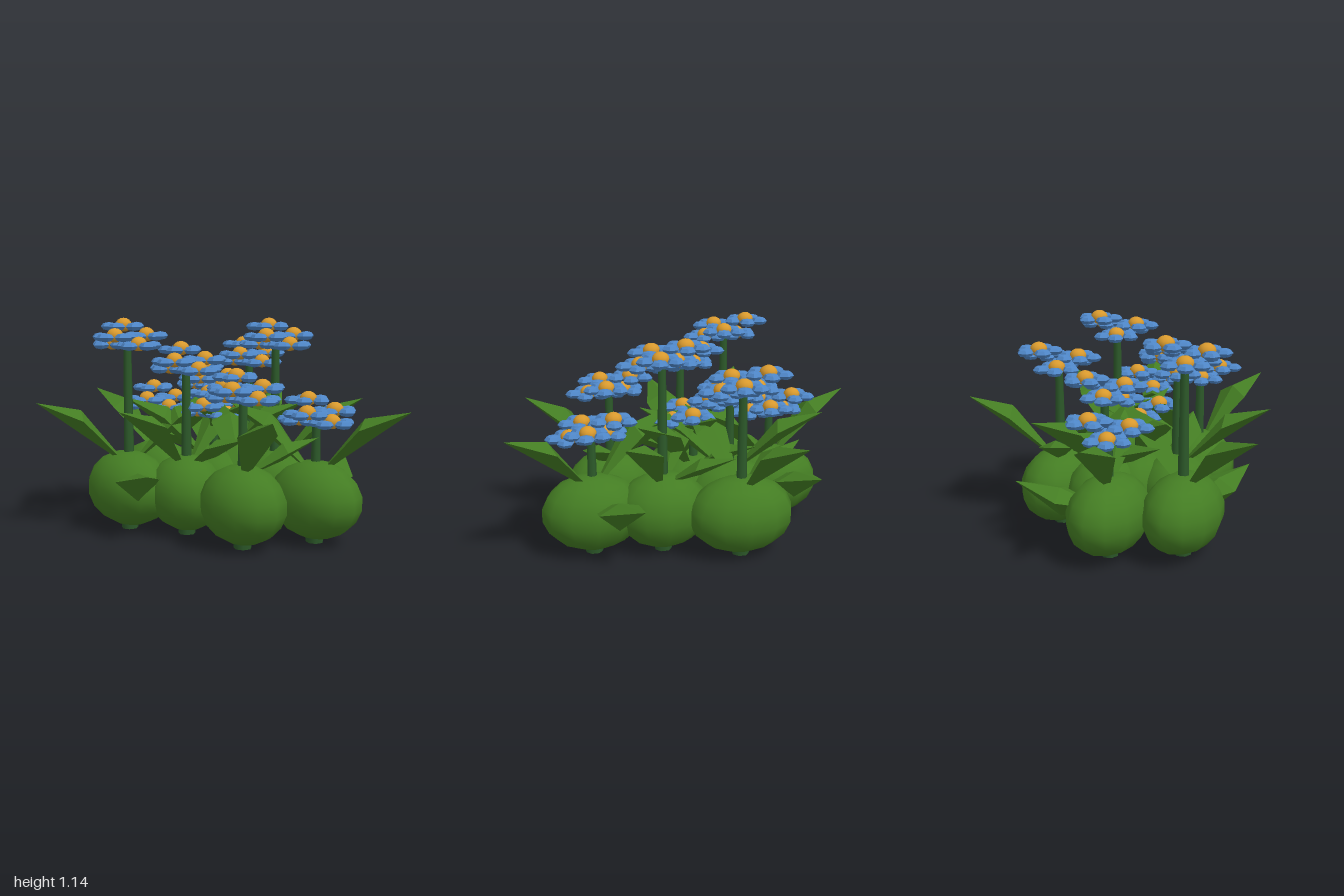
import * as THREE from 'three';

const material = (name, color, extra = {}) => {
  const m = new THREE.MeshStandardMaterial({ color, ...extra });
  m.name = name;
  return m;
};

export function createModel() {
  const bulbGreen = material('bulb green', 0x447d23);
  const leafGreen = material('leaf green', 0x447d23, { flatShading: true });
  const stemGreen = material('stem green', 0x2d5a2a);
  const petalBlue = material('petal blue', 0x4f87c8, { flatShading: true });
  const heartOrange = material('flower heart orange', 0xd99a2e);

  const add = (parent, name, geometry, mat, x = 0, y = 0, z = 0) => {
    const mesh = new THREE.Mesh(geometry, mat);
    mesh.name = name;
    mesh.position.set(x, y, z);
    parent.add(mesh);
    return mesh;
  };

  // Fleshy leaf along +x: a diamond cross-section drawn out to a root and a tip
  const leafGeometry = (length, halfWidth, root, keel, edge, ridge, tip) => {
    const mid = length * 0.52;
    const p = [
      mid, ridge, 0, mid, edge, halfWidth, mid, keel, 0, mid, edge, -halfWidth,
      length, tip, 0, 0, root, 0,
    ];
    const index = [];
    for (let i = 0; i < 4; i++) {
      const j = (i + 1) % 4;
      index.push(4, i, j, 5, j, i);
    }
    const g = new THREE.BufferGeometry();
    g.setAttribute('position', new THREE.Float32BufferAttribute(p, 3));
    g.setIndex(index);
    g.computeVertexNormals();
    return g;
  };
  const highLeaf = leafGeometry(0.49, 0.1, 0.34, 0.53, 0.61, 0.66, 0.705);
  const middleLeaf = leafGeometry(0.4, 0.09, 0.36, 0.44, 0.49, 0.53, 0.55);
  const lowLeaf = leafGeometry(0.48, 0.12, 0.24, 0.2, 0.31, 0.35, 0.375);

  const bulb = new THREE.SphereGeometry(1, 12, 9);
  const petal = new THREE.SphereGeometry(0.046, 6, 4).scale(1, 0.52, 1);
  const heart = new THREE.SphereGeometry(0.045, 10, 8).scale(1, 0.85, 1);

  // Five petals around a domed heart
  const makeFlower = () => {
    const flower = new THREE.Group();
    flower.name = 'flower';
    for (let i = 0; i < 5; i++) {
      const a = (i / 5) * Math.PI * 2;
      add(flower, 'petal', petal, petalBlue, 0.08 * Math.cos(a), 0, 0.08 * Math.sin(a)).rotation.y = -a;
    }
    add(flower, 'flowerHeart', heart, heartOrange, 0, 0.009, 0);
    return flower;
  };

  // x, z, stem top, bulb half width, high leaf angle in degrees, low leaf angle
  const plants = [
    [-0.33, 0.39, 1.0, 0.285, 115, 25],
    [0.18, -0.22, 1.0, 0.25, -57, null],
    [-0.20, -0.38, 0.88, 0.28, -112, null],
    [-0.03, 0.23, 0.88, 0.23, 81, null],
    [0.38, 0.20, 0.76, 0.25, 27, null],
    [-0.22, -0.10, 0.76, 0.25, 200, null],
    [0.54, -0.16, 0.63, 0.27, -23, -113],
    [-0.50, 0.06, 0.63, 0.285, 168, 253],
    [-0.05, 0.02, 0.63, 0.25, -40, null],
  ];

  // Flower offsets from the stem top: x, height, z
  const flowers = [
    [0.11, 0, 0.005],
    [0.03, 0.045, 0.1],
    [-0.085, 0, 0.035],
    [-0.11, 0.093, -0.055],
    [0.03, 0.045, -0.105],
  ];

  const model = new THREE.Group();
  model.name = 'flowerBed';
  for (const [x, z, top, width, high, low] of plants) {
    const plant = new THREE.Group();
    plant.name = 'plant';
    plant.position.set(x, 0, z);
    model.add(plant);

    add(plant, 'bulb', bulb, bulbGreen, 0, 0.226, 0).scale.set(width, 0.204, 0.2);

    // Stem with its foot showing below the bulb
    add(plant, 'stem', new THREE.CylinderGeometry(0.021, 0.034, top, 7), stemGreen, 0, top / 2, 0);
    add(plant, 'foot', new THREE.CylinderGeometry(0.053, 0.046, 0.06, 7), stemGreen, 0, 0.03, 0);

    // Leaves
    const leaf = (name, geometry, degrees) => {
      add(plant, name, geometry, leafGreen).rotation.y = -THREE.MathUtils.degToRad(degrees);
    };
    leaf('highLeaf', highLeaf, high);
    leaf('highLeaf', highLeaf, high + 180);
    if (low === null) leaf('middleLeaf', middleLeaf, high - 90);
    else leaf('lowLeaf', lowLeaf, low);

    // Ring of flowers at staggered heights, each with one petal pointing outward
    for (const [dx, lift, dz] of flowers) {
      const flower = makeFlower();
      flower.position.set(dx, top + 0.003 + lift, dz);
      flower.rotation.y = -Math.atan2(dz, dx);
      plant.add(flower);
    }
  }
  return model;
}
